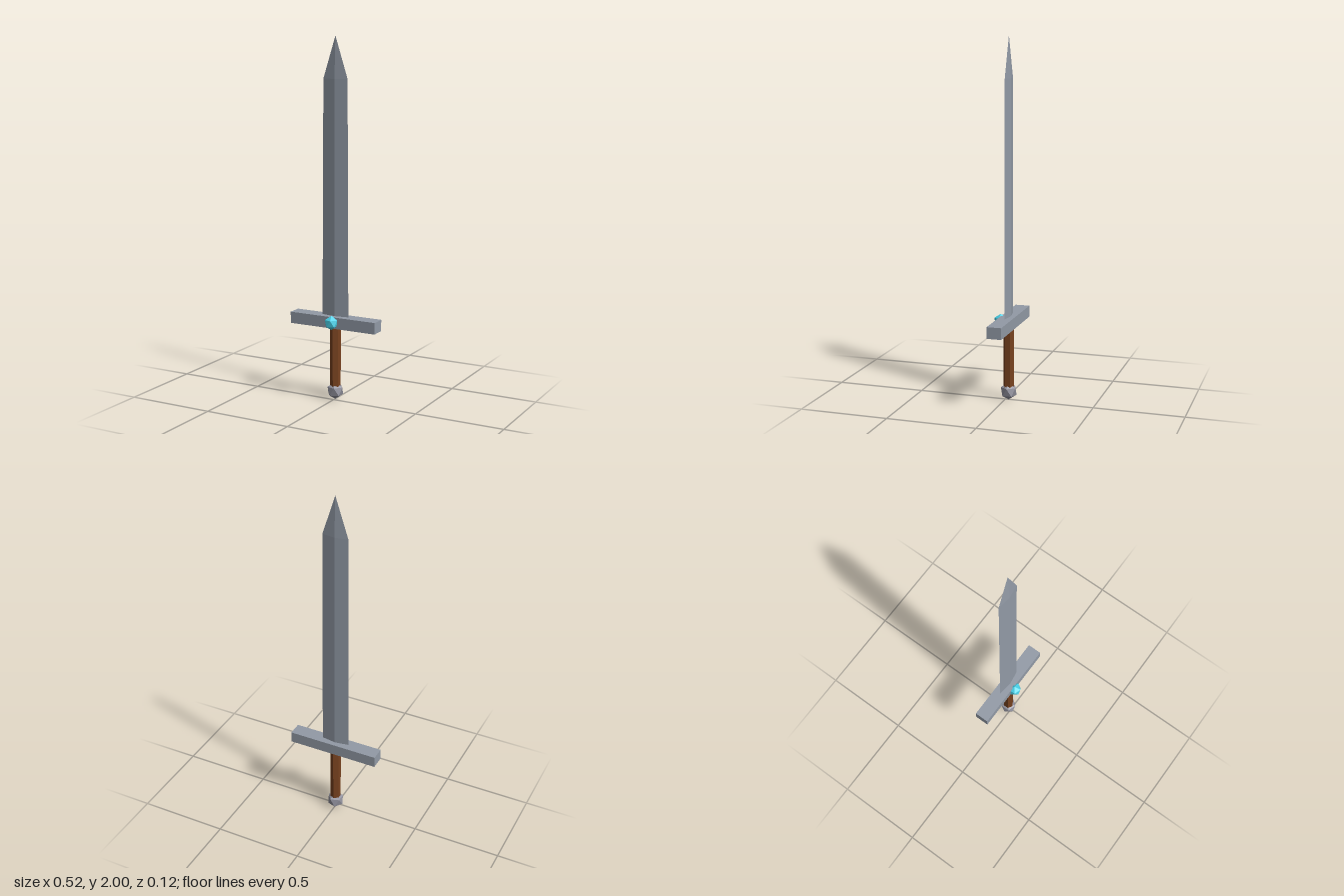
import * as THREE from 'three';

const steel = new THREE.MeshStandardMaterial({ color: 0x929aa6, flatShading: true });
const darkSteel = new THREE.MeshStandardMaterial({ color: 0x92929e, flatShading: true });
const wood = new THREE.MeshStandardMaterial({ color: 0x78421f, flatShading: true });
const crystal = new THREE.MeshStandardMaterial({ color: 0x48d0e8, flatShading: true });

const AXIS_Z = -0.0195; // depth of the sword's long axis

// Icosahedron standing on one corner
function uprightIcosahedron(radius) {
  const golden = (1 + Math.sqrt(5)) / 2;
  return new THREE.IcosahedronGeometry(radius, 0).rotateZ(-Math.atan(1 / golden));
}

export function createModel() {
  const sword = new THREE.Group();
  sword.name = 'sword';

  function add(name, geometry, material, y, z = AXIS_Z) {
    const mesh = new THREE.Mesh(geometry, material);
    mesh.name = name;
    mesh.position.set(0, y, z);
    sword.add(mesh);
  }

  // Blade: four-sided profile flattened into a thin diamond section
  const profile = [[0, 0.45], [0.081, 0.45], [0.0735, 1.772], [0, 2]]
    .map(([x, y]) => new THREE.Vector2(x, y));
  add('blade', new THREE.LatheGeometry(profile, 4).scale(1, 1, 0.15), steel, 0);

  // Crossguard
  add('crossguard', new THREE.BoxGeometry(0.524, 0.064, 0.081), steel, 0.444);

  // Hexagonal grip with a corner facing front
  add('grip', new THREE.CylinderGeometry(0.03, 0.03, 0.36, 6), wood, 0.24);

  // Pommel and guard gem
  add('pommel', uprightIcosahedron(0.049), darkSteel, 0.049);
  add('gem', uprightIcosahedron(0.04), crystal, 0.445, 0.0265);

  return sword;
}
